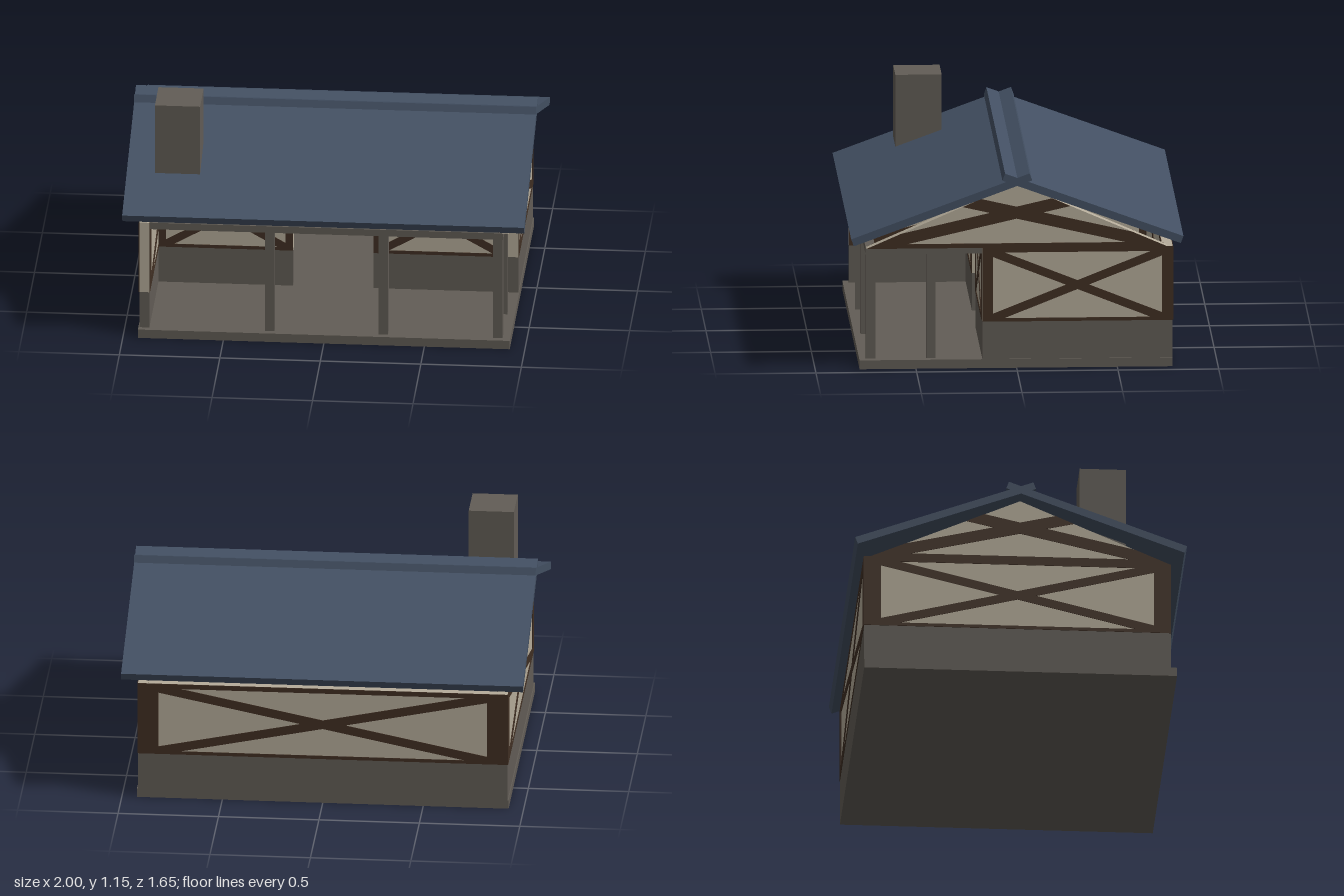
import * as THREE from 'three';

const mat = (name, color) => Object.assign(new THREE.MeshStandardMaterial({ color }), { name });

const T = 0.05;        // wall thickness
const PLATE = 0.003;   // timber relief
const FLOOR = 0.045, SILL = 0.235, EAVE = 0.61;

export function createModel() {
  const stone = mat('stone', 0x625d56);
  const plaster = mat('plaster', 0xb5ac9a);
  const timber = mat('timber', 0x402f23);
  const slate = mat('slate', 0x435063);

  const model = new THREE.Group();
  model.name = 'cottage';

  // Box from its min and max corners
  function box(parent, name, material, x0, x1, y0, y1, z0, z1) {
    const m = new THREE.Mesh(new THREE.BoxGeometry(x1 - x0, y1 - y0, z1 - z0), material);
    m.position.set((x0 + x1) / 2, (y0 + y1) / 2, (z0 + z1) / 2);
    m.name = name;
    parent.add(m);
    return m;
  }

  const polygon = pts => new THREE.Shape(pts.map(p => new THREE.Vector2(p[0], p[1])));

  // Flat shape extruded between two depths
  function slab(parent, name, material, shape, z0, z1) {
    const g = new THREE.ExtrudeGeometry(shape, { depth: z1 - z0, bevelEnabled: false });
    const m = new THREE.Mesh(g.translate(0, 0, z0), material);
    m.name = name;
    parent.add(m);
  }

  // The same timber plate on both faces of a wall
  function bothFaces(parent, name, shape) {
    slab(parent, name + 'Outer', timber, shape, T / 2, T / 2 + PLATE);
    slab(parent, name + 'Inner', timber, shape, -T / 2 - PLATE, -T / 2);
  }

  // Rectangular frame with a cross, left open in four triangles
  function crossFrame(w, y0, y1) {
    const h = y1 - y0, W = w / 2, hw = W * 0.89, hh = h * 0.445, cy = y0 + h * 0.49, t = h * 0.06;
    const s = polygon([[-W, y0], [W, y0], [W, y1], [-W, y1]]);
    for (const k of [-1, 1]) {
      const bx = hw * (1 - t / hh);
      s.holes.push(polygon([[0, cy + k * t], [bx, cy + k * hh], [-bx, cy + k * hh]]));
      s.holes.push(polygon([[k * t * hw / hh, cy], [k * hw, cy + hh - t], [k * hw, cy - hh + t]]));
    }
    return s;
  }

  // Half-timbered wall, optionally on a stone base
  function wall(name, w, x, z, turned, y0 = SILL, base = true) {
    const g = new THREE.Group();
    g.name = name;
    g.position.set(x, 0, z);
    if (turned) g.rotation.y = Math.PI / 2;
    if (base) box(g, 'stoneBase', stone, -w / 2, w / 2, FLOOR, SILL, -T / 2, T / 2);
    box(g, 'plasterPanel', plaster, -w / 2, w / 2, y0, EAVE, -T / 2, T / 2);
    bothFaces(g, 'crossFrame', crossFrame(w, y0, EAVE));
    model.add(g);
  }

  // Foundation
  box(model, 'foundation', stone, -0.925, 0.925, 0, FLOOR, -0.775, 0.78);

  // Walls
  wall('backWall', 1.84, 0, -0.75, false);
  wall('leftWall', 0.945, 0.895, -0.3025, true);
  wall('rightWall', 1.525, -0.895, -0.0125, true);
  wall('frontWallRight', 0.67, -0.535, 0.145, false);
  wall('frontWallLeft', 0.67, 0.535, 0.145, false);
  wall('doorLintel', 0.4, 0, 0.145, false, 0.43, false);

  // Gables with crossing braces
  for (const side of [-1, 1]) {
    const g = new THREE.Group();
    g.name = side > 0 ? 'leftGable' : 'rightGable';
    g.position.x = side * 0.895;
    g.rotation.y = Math.PI / 2;
    slab(g, 'gablePlaster', plaster, polygon([[-0.745, EAVE], [0.745, EAVE], [0, 0.935]]), -T / 2, T / 2);
    bothFaces(g, 'tieBeam', polygon([[-0.745, EAVE], [0.745, EAVE], [0.695, 0.632], [-0.695, 0.632]]));
    for (const k of [-1, 1]) {
      const brace = [[0.177, 0.858], [0.267, 0.818], [-0.64, EAVE], [-0.745, EAVE], [-0.573, 0.685]];
      bothFaces(g, 'brace', polygon(brace.map(([a, b]) => [a * k, b])));
    }
    model.add(g);
  }

  // Porch posts and beams
  const posts = [[-0.295, 0.7], [0.27, 0.7], [0.84, 0.7], [0.84, 0.4]];
  for (const [x, z] of posts) box(model, 'porchPost', stone, x, x + 0.047, FLOOR, 0.575, z, z + 0.047);
  box(model, 'frontBeam', stone, -0.87, 0.89, 0.575, EAVE, 0.7, 0.748);
  box(model, 'sideBeam', stone, 0.84, 0.89, 0.575, EAVE - 0.001, 0.17, 0.7);

  // Two roof slopes crossing at the ridge
  for (const side of [-1, 1]) {
    const r = box(model, side > 0 ? 'frontRoof' : 'backRoof', slate, -1, 1, -0.019, 0.019, -0.472, 0.472);
    r.position.set(0, 0.822, side * 0.3755);
    r.rotation.x = side * THREE.MathUtils.degToRad(20.2);
  }

  // Chimney
  box(model, 'chimney', stone, -0.86, -0.635, 0.6, 1.15, 0.3, 0.53);

  return model;
}
